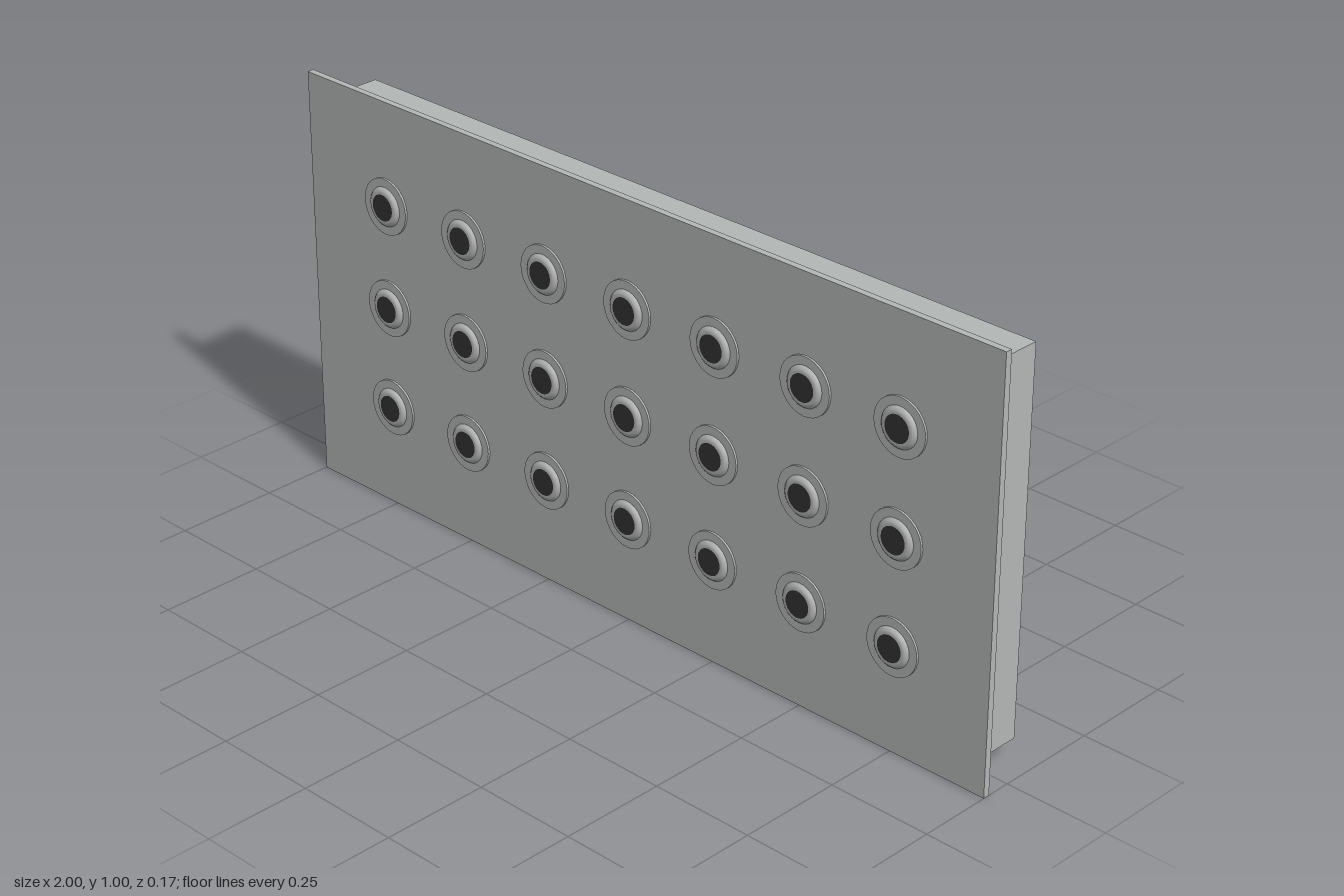
import * as THREE from 'three';

export function createModel() {
  const model = new THREE.Group();
  const grey = new THREE.MeshStandardMaterial({ color: 0xb3b7b5 });
  grey.name = 'light grey metal';
  const black = new THREE.MeshStandardMaterial({ color: 0x323232 });
  black.name = 'dark rubber';

  // Box spanning zMin..zMax, centred on x = 0 and y = 0.5
  function slab(name, width, height, zMin, zMax, material) {
    const mesh = new THREE.Mesh(new THREE.BoxGeometry(width, height, zMax - zMin), material);
    mesh.position.set(0, 0.5, (zMin + zMax) / 2);
    mesh.name = name;
    model.add(mesh);
  }

  slab('frontPanel', 2, 1, 0.058, 0.074, grey);
  slab('housing', 1.9, 0.9, -0.08, 0.058, grey);
  slab('backPad', 1.88, 0.88, -0.0875, -0.08, black);

  // Nozzle parts: lathe axis turned to point forwards; each band is separate to keep edges sharp
  const lathe = (points) =>
    new THREE.LatheGeometry(points.map(([r, h]) => new THREE.Vector2(r, h)), 32).rotateX(Math.PI / 2);
  const flangeSide = lathe([[0.067, 0], [0.067, 0.005]]);
  const flangeFace = lathe([[0.067, 0.005], [0.046, 0.005]]);
  const collar = lathe([[0.047, 0.005], [0.044, 0.009], [0.04, 0.0122], [0.036, 0.0132], [0.031, 0.0132]]);
  const cap = new THREE.CircleGeometry(0.0315, 32).translate(0, 0, 0.0134);

  const parts = [
    ['flangeEdge', flangeSide, grey],
    ['flangeFace', flangeFace, grey],
    ['collar', collar, grey],
    ['darkCap', cap, black],
  ];

  // Three rows of seven nozzles
  for (let row = 1; row <= 3; row++) {
    for (let col = -3; col <= 3; col++) {
      const nozzle = new THREE.Group();
      nozzle.name = 'nozzle';
      for (const [name, geometry, material] of parts) {
        const mesh = new THREE.Mesh(geometry, material);
        mesh.name = name;
        nozzle.add(mesh);
      }
      nozzle.position.set(col * 0.25, row * 0.25, 0.074);
      model.add(nozzle);
    }
  }

  return model;
}
